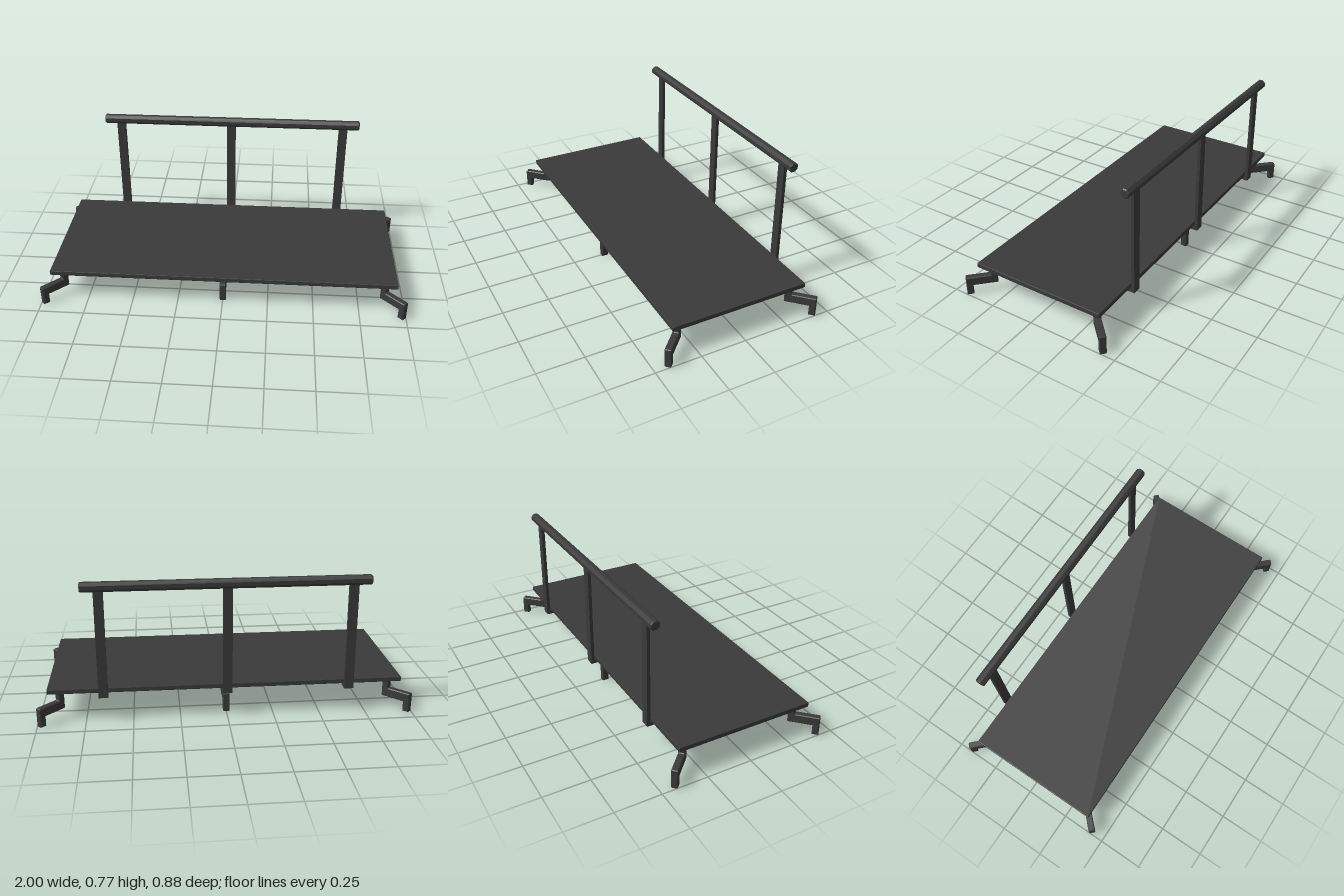
import * as THREE from 'three';
import { RoundedBoxGeometry } from 'three/addons/geometries/RoundedBoxGeometry.js';

const material = new THREE.MeshStandardMaterial({ color: 0x3a3a3a, flatShading: true });

function add(group, name, geometry) {
  const mesh = new THREE.Mesh(geometry, material);
  mesh.name = name;
  group.add(mesh);
  return mesh;
}

// Extrude a closed outline to a given width, centred, with a small bevel inside the outline
function extrudeOutline(points, width, bevel) {
  const shape = new THREE.Shape(points.map(([x, y]) => new THREE.Vector2(x, y)));
  return new THREE.ExtrudeGeometry(shape, {
    depth: width - 2 * bevel,
    bevelEnabled: bevel > 0,
    bevelThickness: bevel,
    bevelSize: bevel,
    bevelOffset: -bevel,
    bevelSegments: 1,
  }).translate(0, 0, -width / 2 + bevel);
}

export function createModel() {
  const model = new THREE.Group();
  model.name = 'railedPlatform';

  // Flat deck
  const deck = add(model, 'deck', new RoundedBoxGeometry(1.894, 0.026, 0.76, 1, 0.003));
  deck.position.y = 0.172;

  // Cranked legs: stem under the deck, arm outwards, foot to the ground
  const legGeometry = extrudeOutline([
    [0, 0.164], [0, 0.059], [0.004, 0.055], [0.13, 0.055], [0.13, 0],
    [0.165, 0], [0.165, 0.101], [0.161, 0.105], [0.039, 0.105], [0.035, 0.109], [0.035, 0.164],
  ], 0.035, 0.004);
  const addLeg = (name, x, z, angle) => {
    const leg = add(model, name, legGeometry);
    leg.position.set(x, 0, z);
    leg.rotation.y = angle;
  };
  for (const sz of [1, -1]) {
    const end = sz > 0 ? 'front' : 'back';
    addLeg(end + 'MiddleLeg', 0, sz * 0.17, -sz * Math.PI / 2);
    for (const sx of [1, -1]) {
      const angle = Math.atan2(-sz, sx);
      addLeg(end + (sx > 0 ? 'Left' : 'Right') + 'Leg', sx * 0.874, sz * 0.314, angle);
    }
  }

  // Flat rail posts with a tab bent in under the deck (outline x runs backwards)
  const postGeometry = extrudeOutline([
    [0.345, 0.14], [0.406, 0.14], [0.406, 0.735], [0.388, 0.735], [0.388, 0.16], [0.345, 0.16],
  ], 0.05, 0).rotateY(Math.PI / 2);
  [['right', -0.653], ['middle', 0], ['left', 0.653]].forEach(([side, x]) => {
    add(model, side + 'Post', postGeometry).position.x = x;
  });

  // Eight-sided handrail with chamfered ends
  const r = 0.027, half = 0.745, c = 0.005;
  const profile = [[0, -half], [r - c, -half], [r, -half + c], [r, half - c], [r - c, half], [0, half]]
    .map(([x, y]) => new THREE.Vector2(x, y));
  const railGeometry = new THREE.LatheGeometry(profile, 8, Math.PI / 8).rotateZ(Math.PI / 2);
  add(model, 'handrail', railGeometry).position.set(0, 0.745, -0.397);

  return model;
}
